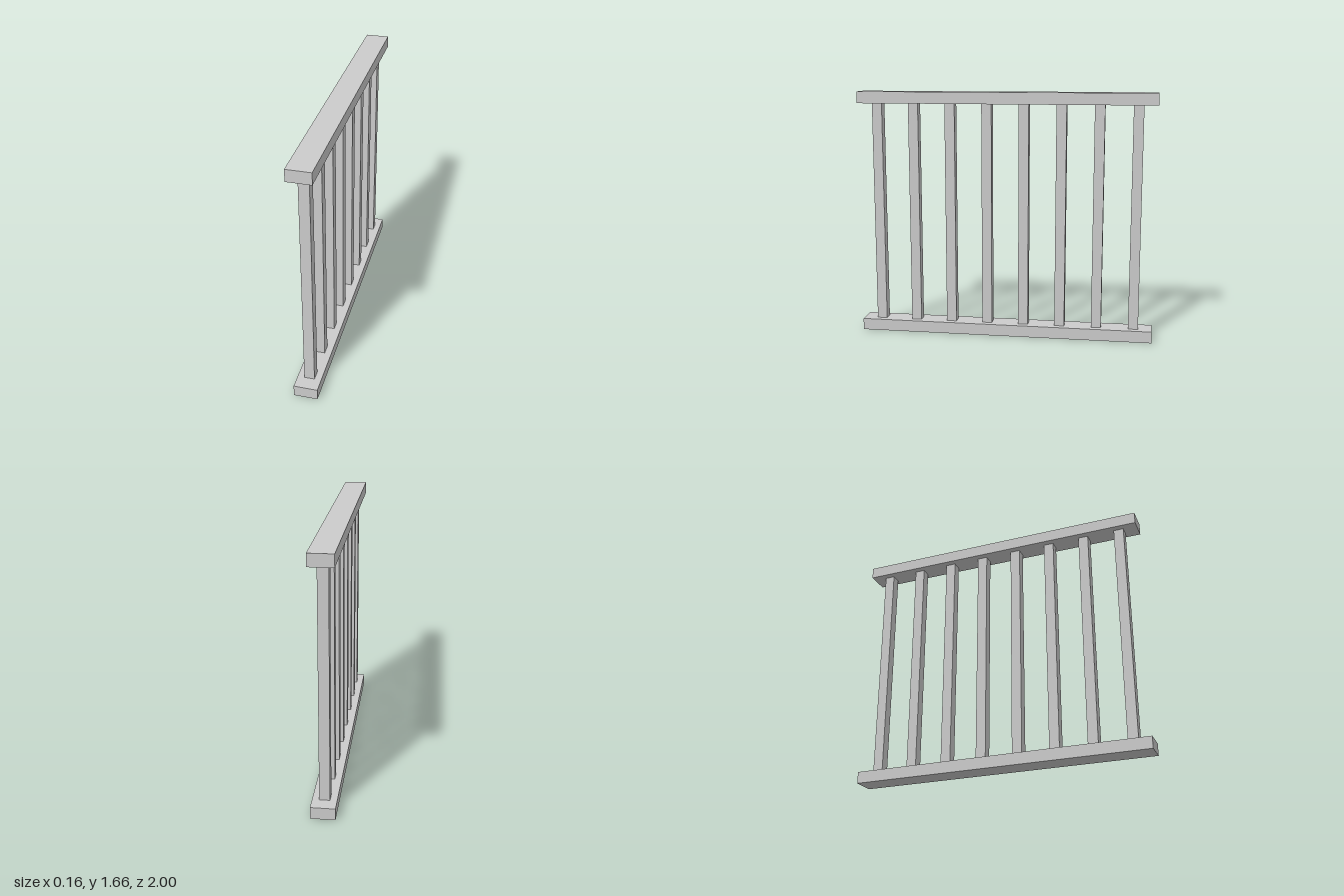
import * as THREE from 'three';

const LENGTH = 2, HEIGHT = 1.66;
const RAIL_W = 0.155, RAIL_H = 0.078;
const POST_W = 0.067, POST_COUNT = 8, POST_SPACING = 0.25;

export function createModel() {
  const group = new THREE.Group();
  group.name = 'railing';
  const material = new THREE.MeshStandardMaterial({ color: 0xcccccc, flatShading: true });

  const addBox = (name, w, h, d, y, z) => {
    const mesh = new THREE.Mesh(new THREE.BoxGeometry(w, h, d), material);
    mesh.name = name;
    mesh.position.set(0, y, z);
    group.add(mesh);
  };

  // Bottom and top rails
  addBox('bottomRail', RAIL_W, RAIL_H, LENGTH, RAIL_H / 2, 0);
  addBox('topRail', RAIL_W, RAIL_H, LENGTH, HEIGHT - RAIL_H / 2, 0);

  // Evenly spaced square balusters between the rails
  for (let i = 0; i < POST_COUNT; i++) {
    const z = (i - (POST_COUNT - 1) / 2) * POST_SPACING;
    addBox(`baluster${i + 1}`, POST_W, HEIGHT - 2 * RAIL_H, POST_W, HEIGHT / 2, z);
  }
  return group;
}
